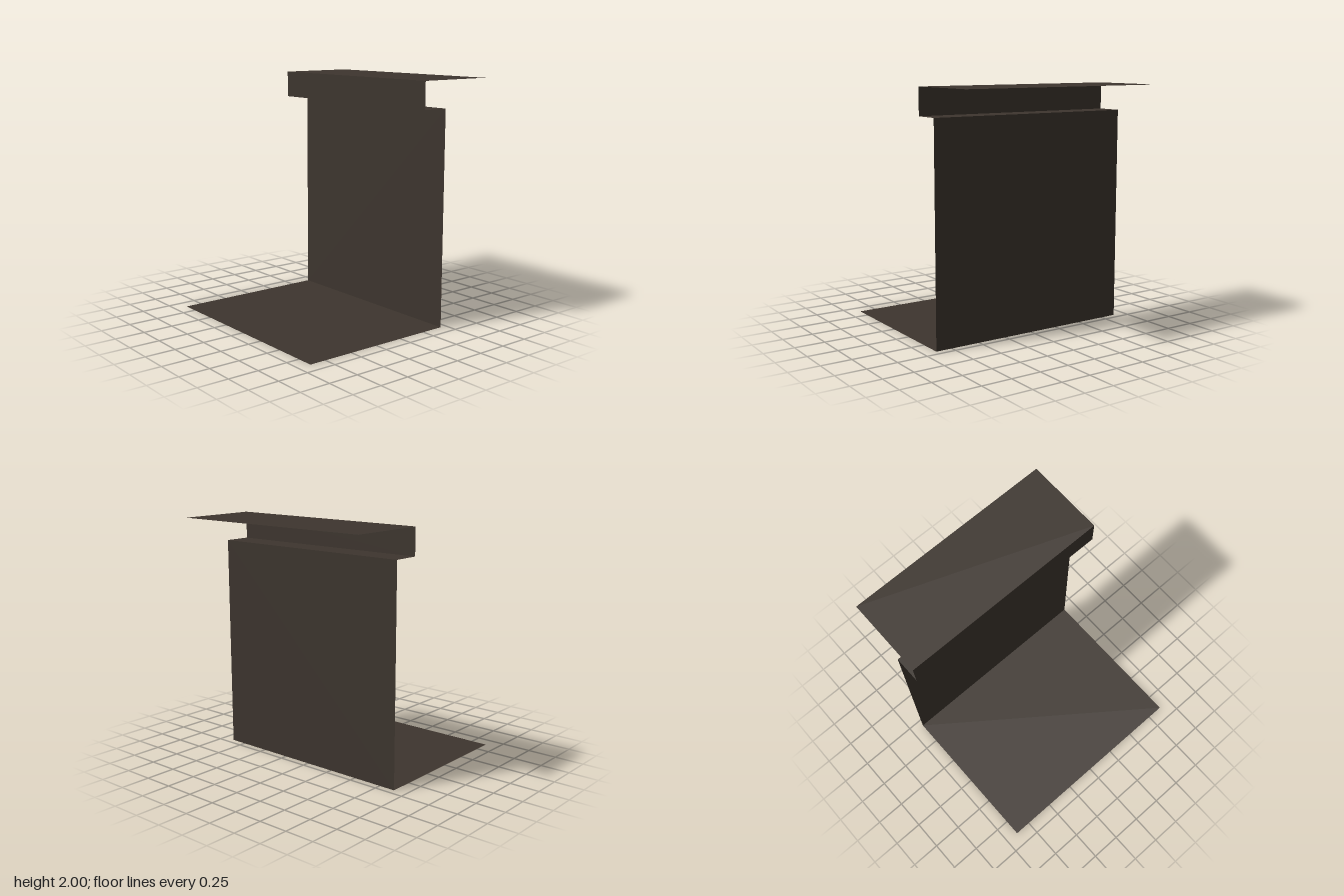
import * as THREE from 'three';

export function createModel() {
  const group = new THREE.Group();
  group.name = 'foldedSheet';
  const darkBrown = new THREE.MeshStandardMaterial({ color: 0x3d352e, side: THREE.DoubleSide });
  darkBrown.name = 'darkBrown';

  const unit = 2 / 9; // the sheet folds on a grid of nine units in height
  const depth = 8 * unit;

  // Flat panel between two points of the profile (grid units), spanning the full depth
  function panel(name, [x0, y0], [x1, y1]) {
    const length = Math.hypot(x1 - x0, y1 - y0) * unit;
    const geometry = new THREE.PlaneGeometry(length, depth);
    geometry.rotateX(-Math.PI / 2);
    geometry.rotateZ(Math.atan2(y1 - y0, x1 - x0));
    const mesh = new THREE.Mesh(geometry, darkBrown);
    mesh.name = name;
    mesh.position.set(((x0 + x1) / 2) * unit, ((y0 + y1) / 2) * unit, 0);
    group.add(mesh);
  }

  // Profile from the base edge to the free edge of the top
  panel('basePlate', [-4, 0], [2, 0]);
  panel('wall', [2, 8], [2, 0]);
  panel('ledge', [1, 8], [2, 8]);
  panel('riser', [1, 9], [1, 8]);
  panel('topPlate', [1, 9], [4, 9]);

  return group;
}
